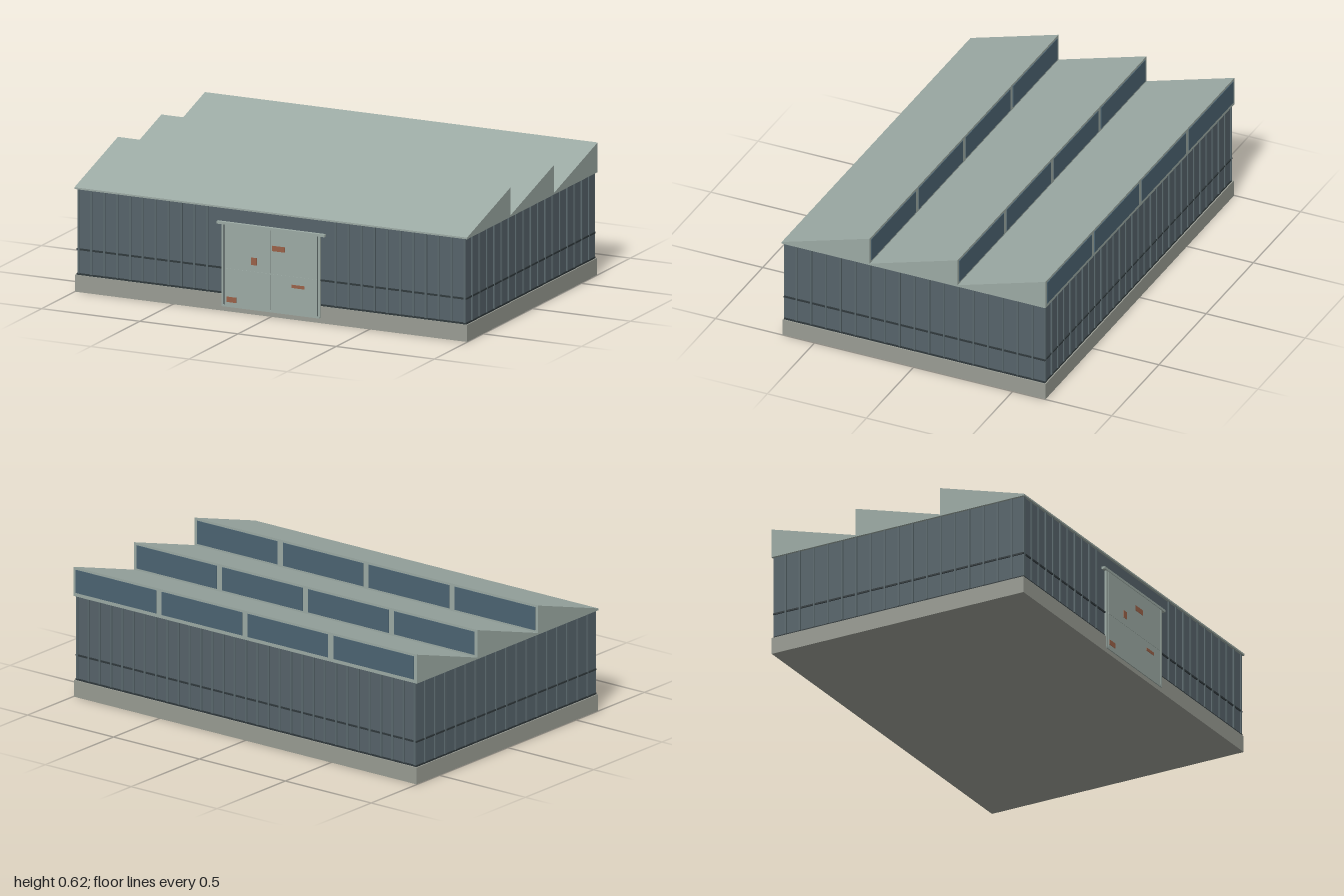
import * as THREE from 'three';

const mat = (color) => new THREE.MeshStandardMaterial({ color });

export function createModel() {
  const model = new THREE.Group();
  model.name = 'sawtoothRoofWarehouse';
  const roofMat = mat(0x9caaa4), wallMat = mat(0x56636a), ribMat = mat(0x5a686d);
  const baseMat = mat(0x999c93), darkMat = mat(0x30393c), glassMat = mat(0x4c6472);
  const doorMat = mat(0x9caaa4), rustMat = mat(0x9a6148);

  // Box given by its min and max corners
  function box(name, material, [x0, y0, z0], [x1, y1, z1], parent = model) {
    const mesh = new THREE.Mesh(new THREE.BoxGeometry(x1 - x0, y1 - y0, z1 - z0), material);
    mesh.position.set((x0 + x1) / 2, (y0 + y1) / 2, (z0 + z1) / 2);
    mesh.name = name;
    parent.add(mesh);
    return mesh;
  }

  // Foundation and walls
  box('foundation', baseMat, [-0.998, 0, -0.665], [0.998, 0.08, 0.662]);
  box('walls', wallMat, [-0.988, 0.08, -0.655], [0.988, 0.488, 0.654]);
  box('girtRail', darkMat, [-0.993, 0.197, -0.66], [0.993, 0.205, 0.659]);
  box('baseFlashing', darkMat, [-0.992, 0.08, -0.659], [0.992, 0.088, 0.658]);

  // Vertical cladding ribs, skipping the doorway on the front
  const ribs = new THREE.Group();
  ribs.name = 'wallRibs';
  model.add(ribs);
  const w = 0.005, y0 = 0.088, y1 = 0.487;
  for (let i = 0; i <= 30; i++) {
    const x = -0.983 + (i * 1.966) / 30;
    box('backRib', ribMat, [x - w, y0, -0.661], [x + w, y1, -0.654], ribs);
    if (Math.abs(x) > 0.27) box('frontRib', ribMat, [x - w, y0, 0.653], [x + w, y1, 0.66], ribs);
  }
  for (let i = 1; i < 18; i++) {
    const z = -0.67 + (i * 1.34) / 18;
    for (const s of [-1, 1]) {
      const rib = box('sideRib', ribMat, [-0.0035, y0, z - 0.004], [0.0035, y1, z + 0.004], ribs);
      rib.position.x = s * 0.9905;
    }
  }

  // Sawtooth roof bays with clerestory windows facing the back
  const pitch = 0.444;
  for (let i = 0; i < 3; i++) {
    const bay = new THREE.Group();
    bay.name = 'roofBay';
    model.add(bay);
    const zf = 0.666 - i * pitch, zb = zf - pitch;
    const profile = new THREE.Shape();
    profile.moveTo(-zf, 0.485);
    profile.lineTo(-zb, 0.485);
    profile.lineTo(-zb, 0.625);
    profile.lineTo(-zf, 0.493);
    profile.closePath();
    const geo = new THREE.ExtrudeGeometry(profile, { depth: 2, bevelEnabled: false });
    geo.rotateY(Math.PI / 2).translate(-1, 0, 0);
    const tooth = new THREE.Mesh(geo, roofMat);
    tooth.name = 'roofTooth';
    bay.add(tooth);
    for (let k = 0; k < 4; k++) {
      const x = -1 + k * 0.5;
      box('clerestoryWindow', glassMat, [x + 0.016, 0.503, zb - 0.003], [x + 0.484, 0.614, zb + 0.002], bay);
    }
  }

  // Double sliding door with frame, header track and rust patches
  const door = new THREE.Group();
  door.name = 'slidingDoor';
  model.add(door);
  box('doorBacking', darkMat, [-0.245, 0.028, 0.65], [0.245, 0.41, 0.6625], door);
  for (const s of [-1, 1]) {
    const leaf = box('doorLeaf', doorMat, [-0.117, 0.03, 0.655], [0.117, 0.41, 0.667], door);
    leaf.position.x = s * 0.1185;
    const jamb = box('doorJamb', doorMat, [-0.005, 0.025, 0.65], [0.005, 0.41, 0.6665], door);
    jamb.position.x = s * 0.246;
  }
  box('doorSill', doorMat, [-0.25, 0.022, 0.655], [0.25, 0.031, 0.667], door);
  box('doorRail', doorMat, [-0.234, 0.198, 0.66], [0.234, 0.204, 0.6685], door);
  box('doorHeader', roofMat, [-0.275, 0.409, 0.65], [0.275, 0.421, 0.67], door);
  const patches = [
    [-0.085, 0.252, 0.03, 0.035], [0.04, 0.325, 0.065, 0.025],
    [0.14, 0.158, 0.065, 0.015], [-0.2, 0.058, 0.05, 0.025],
  ];
  for (const [x, y, pw, ph] of patches) {
    box('rustPatch', rustMat, [x - pw / 2, y - ph / 2, 0.66], [x + pw / 2, y + ph / 2, 0.669], door);
  }
  return model;
}
